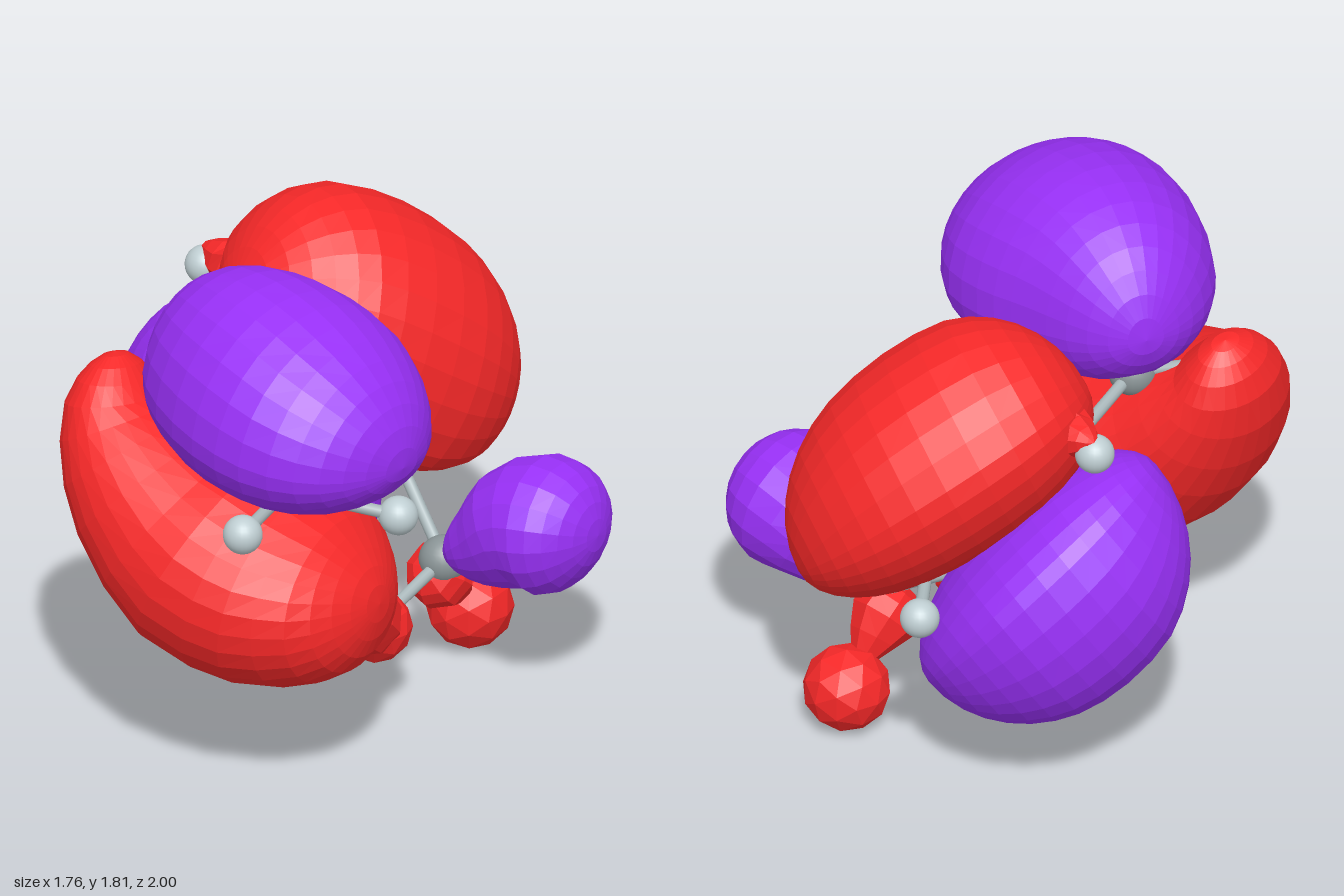
import * as THREE from 'three';

const RED = 0xf62828, PURPLE = 0x9830f6;
const V = (p) => new THREE.Vector3(...p);
const mat = (color, flatShading = false) => new THREE.MeshStandardMaterial({ color, flatShading });

// Linear interpolation through a short list of values
function sample(list, u) {
  const f = u * (list.length - 1), i = Math.min(Math.floor(f), list.length - 2);
  return THREE.MathUtils.lerp(list[i], list[i + 1], f - i);
}

// Rounded closed lobe swept along a path. "side" is the width direction; the
// height is shortened by "flat" on its inner face. Large lobes are sized to a box.
function lobe(name, color, { path, side, width, height, flat = 1, min, max, rings = 18, segs = 28 }) {
  const curve = new THREE.CatmullRomCurve3(path.map(V));
  const pos = [], index = [];
  for (let i = 0; i <= rings; i++) {
    const s = i / rings, u = (1 - Math.cos(Math.PI * s)) / 2, cap = Math.sin(Math.PI * s);
    const c = curve.getPoint(u), t = curve.getTangent(u), b = V(side);
    b.addScaledVector(t, -b.dot(t)).normalize();
    const n = t.clone().cross(b);
    for (let j = 0; j < segs; j++) {
      const a = (j / segs) * Math.PI * 2, h = Math.sin(a);
      const p = c.clone()
        .addScaledVector(b, Math.cos(a) * cap * sample(width, u))
        .addScaledVector(n, h * (h < 0 ? flat : 1) * cap * sample(height, u));
      pos.push(p.x, p.y, p.z);
      if (i < rings) {
        const k = (j + 1) % segs, r = i * segs, q = r + segs;
        index.push(r + j, r + k, q + j, r + k, q + k, q + j);
      }
    }
  }
  const geo = new THREE.BufferGeometry();
  geo.setAttribute('position', new THREE.Float32BufferAttribute(pos, 3));
  geo.setIndex(index);
  if (min) {
    geo.computeBoundingBox();
    const { min: lo, max: hi } = geo.boundingBox;
    const scale = V(max).sub(V(min)).divide(hi.clone().sub(lo));
    geo.translate(-lo.x, -lo.y, -lo.z).scale(scale.x, scale.y, scale.z).translate(...min);
  }
  geo.computeVertexNormals();
  const mesh = new THREE.Mesh(geo, mat(color, true));
  mesh.name = name;
  return mesh;
}

function ball(name, p, geo, material) {
  const m = new THREE.Mesh(geo, material);
  m.name = name;
  m.position.set(...p);
  return m;
}

function bond(p, q) {
  const a = V(p), b = V(q), d = b.clone().sub(a);
  const m = new THREE.Mesh(new THREE.CylinderGeometry(0.022, 0.022, d.length(), 12), mat(0xaab8bb));
  m.name = 'bond';
  m.position.copy(a).add(b).multiplyScalar(0.5);
  m.quaternion.setFromUnitVectors(new THREE.Vector3(0, 1, 0), d.normalize());
  return m;
}

export function createModel() {
  const group = new THREE.Group();

  // Ball-and-stick skeleton: five-atom chain with hydrogens
  const carbons = [[0.26, 1.08, 0.55], [-0.17, 1.19, 0.35], [-0.3, 1.13, -0.12], [-0.05, 0.83, -0.5], [0.29, 0.43, -0.38]];
  const hydrogens = [
    [0, [0.33, 1.09, 0.92]], [0, [0.575, 0.98, 0.33]], [1, [-0.46, 1.28, 0.54]], [2, [-0.61, 1.35, -0.27]],
    [3, [-0.32, 0.8, -0.82]], [4, [0.25, 0.14, -0.6]], [4, [0.27, 0.34, 0.01]], [4, [0.64, 0.62, -0.44]],
  ];
  const skeleton = new THREE.Group();
  skeleton.name = 'skeleton';
  const carbonGeo = new THREE.SphereGeometry(0.085, 24, 16), carbonMat = mat(0x8a9496);
  const hydrogenGeo = new THREE.SphereGeometry(0.068, 24, 16), hydrogenMat = mat(0xbfced2);
  carbons.forEach((c, i) => {
    skeleton.add(ball('carbonAtom', c, carbonGeo, carbonMat));
    if (i) skeleton.add(bond(carbons[i - 1], c));
  });
  hydrogens.forEach(([i, h]) => {
    skeleton.add(ball('hydrogenAtom', h, hydrogenGeo, hydrogenMat), bond(carbons[i], h));
  });
  group.add(skeleton);

  // Four large lobes, in pairs either side of the chain
  group.add(
    lobe('frontUpperLobe', PURPLE, {
      path: [[-0.34, 1.43, 0.25], [0, 1.4, 0.41], [0.38, 1.36, 0.5], [0.74, 1.33, 0.54]],
      side: [-0.3, 0, -0.95], width: [0.37, 0.4, 0.45, 0.48], height: [0.45, 0.42, 0.4, 0.38], flat: 0.7,
      min: [-0.34, 1.06, 0.065], max: [0.755, 1.805, 0.955],
    }),
    lobe('frontLowerLobe', RED, {
      path: [[0.62, 0.74, 0.51], [0.47, 0.72, 0.52], [0.24, 0.73, 0.53], [-0.02, 0.81, 0.55],
        [-0.26, 0.98, 0.56], [-0.42, 1.18, 0.54], [-0.46, 1.39, 0.5]],
      side: [0, 0, 1], width: [0.42, 0.45, 0.46, 0.43, 0.36, 0.31, 0.3], height: [0.36, 0.36, 0.37, 0.37, 0.31, 0.25, 0.23],
      min: [-0.6, 0.37, 0.08], max: [0.62, 1.39, 0.995],
    }),
    lobe('backUpperLobe', RED, {
      path: [[-0.35, 1.38, -0.03], [-0.22, 1.24, -0.3], [0, 1.02, -0.65], [0.17, 0.85, -0.93]],
      side: [-0.64, 0.39, -0.67], width: [0.45, 0.46, 0.45, 0.44], height: [0.45, 0.45, 0.43, 0.42], flat: 0.62,
      min: [-0.56, 0.67, -1], max: [0.38, 1.69, 0.02],
    }),
    lobe('backLowerLobe', PURPLE, {
      path: [[-0.6, 1.12, 0.1], [-0.48, 0.9, -0.15], [-0.34, 0.65, -0.45], [-0.23, 0.44, -0.7]],
      side: [0.64, -0.39, 0.67], width: [0.44, 0.46, 0.46, 0.44], height: [0.48, 0.48, 0.46, 0.44], flat: 0.52,
      min: [-0.885, 0.26, -0.77], max: [-0.01, 1.23, 0.155],
    }),
  );

  // Teardrop lobe at the chain's end
  const drop = [0.16, 0.185, 0.22, 0.247, 0.257, 0.26];
  group.add(lobe('teardropLobe', PURPLE, {
    path: [[0.31, 0.46, -0.35], [0.45, 0.53, -0.4], [0.6, 0.62, -0.435], [0.75, 0.645, -0.44], [0.88, 0.65, -0.44]],
    side: [0, 0, 1], width: drop, height: drop, segs: 18, rings: 14,
    min: [0.31, 0.39, -0.695], max: [0.88, 0.88, -0.185],
  }));

  // Small faceted blobs and their necks
  const blob = (p, r) => group.add(ball('smallBlob', p, new THREE.IcosahedronGeometry(r, 1), mat(RED, true)));
  const neck = (path, width) => group.add(lobe('blobNeck', RED, {
    path, side: [1, 0, 0], width, height: width, segs: 8, rings: 8,
  }));
  blob([0.25, 0.15, -0.605], 0.152);
  neck([[0.26, 0.42, -0.31], [0.26, 0.34, -0.42], [0.25, 0.2, -0.56]], [0.14, 0.12, 0.05]);
  blob([0.265, 0.335, 0.005], 0.13);
  neck([[0.27, 0.27, -0.04], [0.27, 0.42, 0.11], [0.25, 0.56, 0.32]], [0.13, 0.14, 0.19]);
  neck([[-0.36, 1.36, -0.24], [-0.49, 1.38, -0.27], [-0.63, 1.41, -0.29]], [0.14, 0.095, 0.06]);

  return group;
}
